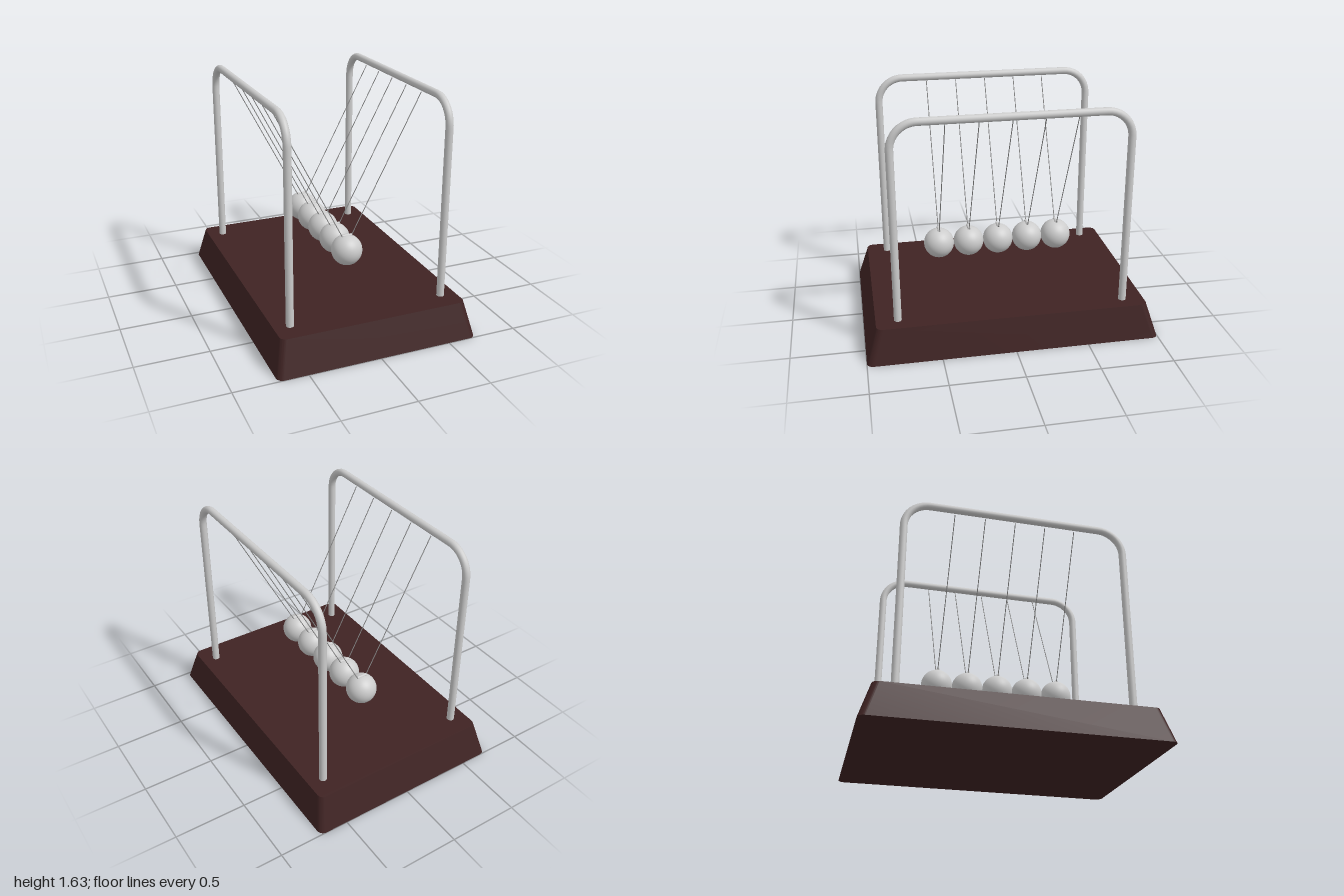
import * as THREE from 'three';
import { toCreasedNormals } from 'three/addons/utils/BufferGeometryUtils.js';

const wood = new THREE.MeshStandardMaterial({ name: 'dark wood', color: 0x3f2323 });
const metal = new THREE.MeshStandardMaterial({ name: 'polished metal', color: 0xcccccc });
const cord = new THREE.MeshStandardMaterial({ name: 'string grey', color: 0x8c8c8c });

const BASE_HEIGHT = 0.24;
const FRAME_X = 0.543, FRAME_Y = 1.602, FRAME_Z = 0.777, BEND = 0.175, TUBE = 0.026;
const BALL_RADIUS = 0.107, BALL_Y = 0.525;

function mesh(name, geometry, material) {
  const m = new THREE.Mesh(geometry, material);
  m.name = name;
  return m;
}

// Straight rod between two points
function rod(name, a, b, radius, material, sides = 8) {
  const direction = b.clone().sub(a);
  const m = mesh(name, new THREE.CylinderGeometry(radius, radius, direction.length(), sides), material);
  m.position.copy(a).add(b).multiplyScalar(0.5);
  m.quaternion.setFromUnitVectors(new THREE.Vector3(0, 1, 0), direction.normalize());
  return m;
}

// Rounded rectangle, extruded up and drawn in towards the top
function createBase() {
  const x = 0.705, y = 1, r = 0.045;
  const outline = new THREE.Shape();
  outline.absarc(x - r, y - r, r, 0, Math.PI / 2);
  outline.absarc(r - x, y - r, r, Math.PI / 2, Math.PI);
  outline.absarc(r - x, r - y, r, Math.PI, Math.PI * 1.5);
  outline.absarc(x - r, r - y, r, Math.PI * 1.5, Math.PI * 2);
  outline.closePath();
  const geometry = new THREE.ExtrudeGeometry(outline, { depth: BASE_HEIGHT, bevelEnabled: false, curveSegments: 8 });
  geometry.rotateX(-Math.PI / 2);
  const p = geometry.attributes.position;
  for (let i = 0; i < p.count; i++) {
    const t = p.getY(i) / BASE_HEIGHT;
    p.setX(i, p.getX(i) - Math.sign(p.getX(i)) * 0.052 * t);
    p.setZ(i, p.getZ(i) - Math.sign(p.getZ(i)) * 0.075 * t);
  }
  return mesh('base', toCreasedNormals(geometry, 0.6), wood);
}

// Bent tube: leg, bend, top rail, bend, leg
function createFrame(name, x) {
  const v = (y, z) => new THREE.Vector3(x, y, z);
  const path = new THREE.CurvePath();
  const low = FRAME_Y - BEND, inner = FRAME_Z - BEND;
  const k = BEND * 0.5523;
  path.add(new THREE.LineCurve3(v(BASE_HEIGHT - 0.02, FRAME_Z), v(low, FRAME_Z)));
  path.add(new THREE.CubicBezierCurve3(v(low, FRAME_Z), v(low + k, FRAME_Z), v(FRAME_Y, inner + k), v(FRAME_Y, inner)));
  path.add(new THREE.LineCurve3(v(FRAME_Y, inner), v(FRAME_Y, -inner)));
  path.add(new THREE.CubicBezierCurve3(v(FRAME_Y, -inner), v(FRAME_Y, -inner - k), v(low + k, -FRAME_Z), v(low, -FRAME_Z)));
  path.add(new THREE.LineCurve3(v(low, -FRAME_Z), v(BASE_HEIGHT - 0.02, -FRAME_Z)));
  return mesh(name, new THREE.TubeGeometry(path, 140, TUBE, 16), metal);
}

// Ball with its top clip and two strings
function createPendulum(index) {
  const group = new THREE.Group();
  group.name = 'pendulum' + (index + 1);
  group.position.z = (index - 2) * BALL_RADIUS * 2;
  const ball = mesh('ball', new THREE.SphereGeometry(BALL_RADIUS, 40, 24), metal);
  ball.position.y = BALL_Y;
  group.add(ball);
  const clipY = BALL_Y + BALL_RADIUS - 0.003;
  group.add(rod('clip', new THREE.Vector3(-0.036, clipY, 0), new THREE.Vector3(0.036, clipY, 0), 0.011, metal, 12));
  for (const side of [-1, 1]) {
    group.add(rod(side > 0 ? 'leftString' : 'rightString',
      new THREE.Vector3(side * 0.034, clipY - 0.003, 0),
      new THREE.Vector3(side * (FRAME_X - 0.018), 1.575, 0), 0.003, cord));
  }
  return group;
}

export function createModel() {
  const model = new THREE.Group();
  model.name = 'swingingBallsDeskToy';
  model.add(createBase());
  model.add(createFrame('leftFrame', FRAME_X), createFrame('rightFrame', -FRAME_X));
  for (let i = 0; i < 5; i++) model.add(createPendulum(i));
  return model;
}
